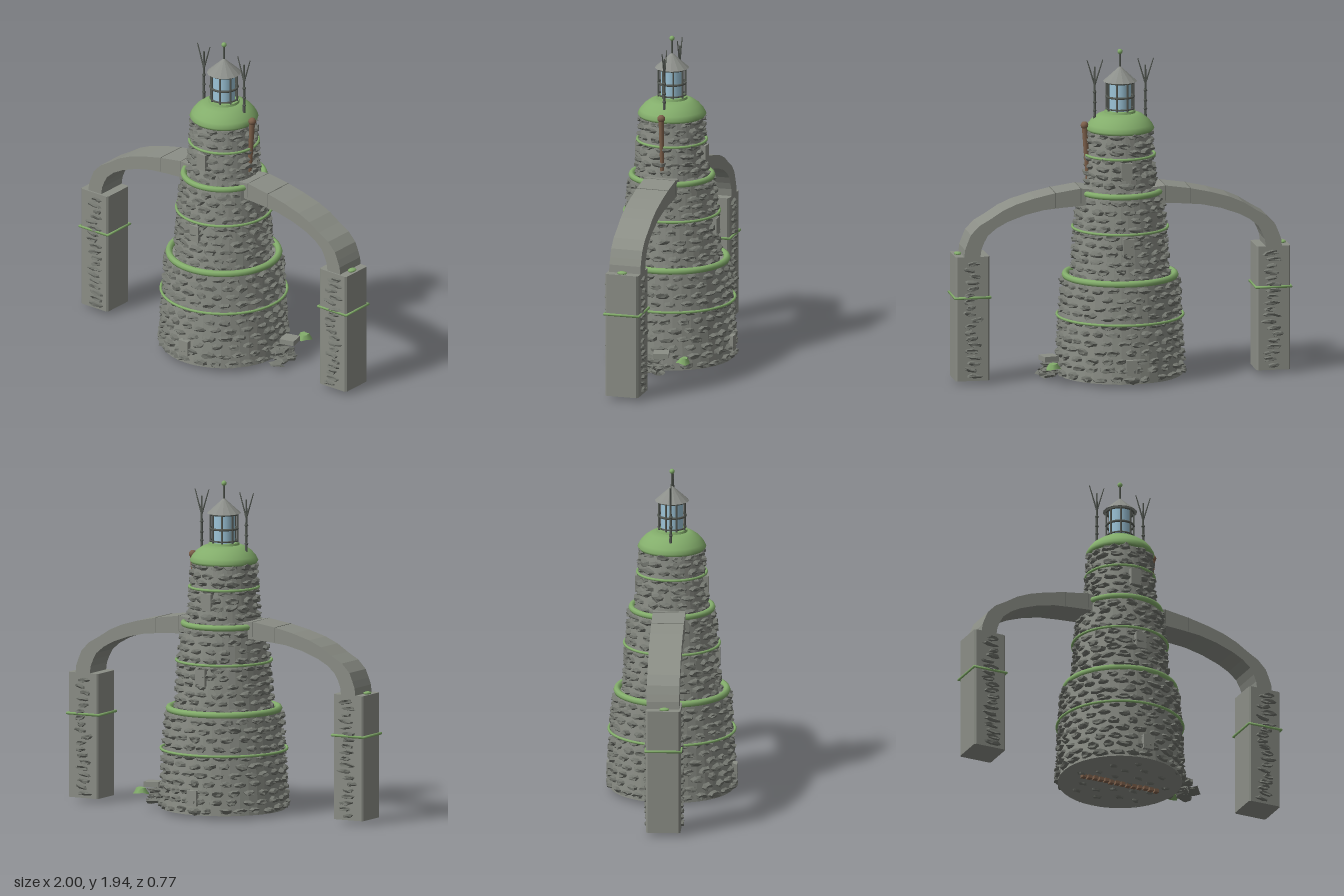
import * as THREE from 'three';
import { mergeGeometries } from 'three/addons/utils/BufferGeometryUtils.js';

const mat = (name, color, opts = {}) => {
  const m = new THREE.MeshStandardMaterial({ color, ...opts });
  m.name = name;
  return m;
};

export function createModel() {
  const root = new THREE.Group();
  root.name = 'stoneLighthouse';
  const masonry = mat('masonry', 0x8b8e86, { flatShading: true });
  const rubble = mat('rubbleStone', 0x73766f, { flatShading: true });
  const moss = mat('moss', 0x83ad6b);
  const iron = mat('iron', 0x555a54);
  const glass = mat('glass', 0x9cc4d8);
  const roofing = mat('roof', 0x8c8f8a, { flatShading: true });
  const wood = mat('weatheredWood', 0x7d604b);

  let seed = 7;
  const rnd = () => (seed = (seed * 16807) % 2147483647) / 2147483647;
  const vary = (a) => (rnd() * 2 - 1) * a;

  const add = (name, geo, material, x = 0, y = 0, z = 0, parent = root) => {
    const m = new THREE.Mesh(geo, material);
    m.name = name;
    m.position.set(x, y, z);
    parent.add(m);
    return m;
  };
  // Straight round bar between two points
  const bar = (name, a, b, r, material, parent = root, r2 = r) => {
    const p = new THREE.Vector3(...a), q = new THREE.Vector3(...b);
    const d = q.clone().sub(p);
    const m = add(name, new THREE.CylinderGeometry(r2, r, d.length(), 8), material, 0, 0, 0, parent);
    m.position.copy(p).add(q).multiplyScalar(0.5);
    m.quaternion.setFromUnitVectors(new THREE.Vector3(0, 1, 0), d.normalize());
    return m;
  };
  const ring = (name, r, tube, y) =>
    add(name, new THREE.TorusGeometry(r, tube, 8, 48).rotateX(Math.PI / 2), moss, 0, y, 0);

  // Irregular chipped stone whose worn face looks along +z
  const stone = (w, h, d) => {
    const g = new THREE.CylinderGeometry(0.62, 1, 1, 7, 1).rotateX(Math.PI / 2).rotateZ(rnd() * 6);
    const p = g.attributes.position, s = rnd() * 50;
    for (let i = 0; i < p.count; i++) {
      const x = p.getX(i), y = p.getY(i), z = p.getZ(i);
      const n = Math.sin(Math.round(x * 50) * 1.7 + Math.round(y * 50) * 2.9 + Math.round(z * 4) + s);
      const k = 1 + 0.2 * n;
      p.setXYZ(i, x * w * k, y * h * k, z * d * (1 + 0.45 * n));
    }
    return g;
  };

  // Tower tiers: tapered core with staggered courses of stones
  const tiers = [
    { name: 'lower', y0: 0.02, y1: 0.59, r0: 0.362, r1: 0.33, rows: 11 },
    { name: 'middle', y0: 0.59, y1: 1.09, r0: 0.275, r1: 0.238, rows: 10 },
    { name: 'upper', y0: 1.09, y1: 1.47, r0: 0.2, r1: 0.174, rows: 8 },
  ];
  for (const t of tiers) {
    const h = t.y1 - t.y0;
    add(t.name + 'TowerCore', new THREE.CylinderGeometry(t.r1, t.r0, h, 40), masonry, 0, t.y0 + h / 2);
    const list = [];
    for (let row = 0; row < t.rows; row++) {
      const f = (row + 0.5) / t.rows, r = t.r0 + (t.r1 - t.r0) * f;
      const n = Math.round((2 * Math.PI * r) / 0.095);
      for (let i = 0; i < n; i++) {
        const a = ((i + (row % 2) / 2 + vary(0.12)) / n) * Math.PI * 2;
        const g = stone(0.046 + vary(0.008), 0.022 + vary(0.004), 0.03);
        g.rotateZ(vary(0.12)).rotateX(vary(0.2)).translate(0, 0, r + 0.004).rotateY(a);
        list.push(g.translate(0, t.y0 + f * h + vary(0.005), 0));
      }
    }
    add(t.name + 'TowerStones', mergeGeometries(list), rubble);
  }

  // Plain panels set into the front and back walls
  for (const s of [1, -1]) {
    for (const [y, r, h] of [[0.12, 0.371, 0.09], [0.815, 0.271, 0.1], [1.25, 0.205, 0.1]]) {
      add('wallPanel', new THREE.BoxGeometry(0.065, h, 0.04), masonry, 0, y, s * (r - 0.01));
    }
  }

  // Mossy bands and ledges
  ring('lowerMossBand', 0.368, 0.008, 0.37);
  ring('middleMossBand', 0.278, 0.008, 0.89);
  ring('upperMossBand', 0.202, 0.008, 1.32);
  ring('lowerLedge', 0.32, 0.02, 0.605);
  ring('middleLedge', 0.235, 0.018, 1.105);

  // Domed moss cap
  const cap = [[0, 1.46], [0.19, 1.46], [0.2, 1.475], [0.187, 1.5], [0.162, 1.53], [0.13, 1.553], [0.1, 1.565], [0, 1.567]];
  add('mossCap', new THREE.LatheGeometry(cap.map((p) => new THREE.Vector2(...p)), 40), moss);

  // Lantern room
  const lantern = new THREE.Group();
  lantern.name = 'lantern';
  root.add(lantern);
  add('galleryFloor', new THREE.CylinderGeometry(0.088, 0.092, 0.014, 24), moss, 0, 1.571, 0, lantern);
  add('lanternGlass', new THREE.CylinderGeometry(0.064, 0.064, 0.175, 16), glass, 0, 1.664, 0, lantern);
  for (let i = 0; i < 8; i++) {
    const a = ((i + 0.5) / 8) * Math.PI * 2, c = Math.cos(a), s = Math.sin(a);
    bar('lanternPost', [c * 0.08, 1.575, s * 0.08], [c * 0.08, 1.752, s * 0.08], 0.006, iron, lantern);
  }
  for (const [y, tube] of [[1.59, 0.005], [1.66, 0.007], [1.745, 0.006]]) {
    add('lanternHoop', new THREE.TorusGeometry(0.08, tube, 6, 24).rotateX(Math.PI / 2), iron, 0, y, 0, lantern);
  }
  add('lanternRoof', new THREE.ConeGeometry(0.1, 0.09, 14), roofing, 0, 1.795, 0, lantern);
  bar('finialRod', [0, 1.82, 0], [0, 1.92, 0], 0.005, iron, lantern);
  add('finialBall', new THREE.SphereGeometry(0.015, 12, 8), moss, 0, 1.925, 0, lantern);

  // Forked masts on either side of the lantern
  for (const s of [-1, 1]) {
    const mast = new THREE.Group();
    mast.name = 'forkedMast';
    mast.position.x = s * 0.15;
    root.add(mast);
    bar('mastStem', [0, 1.48, 0], [0, 1.84, 0], 0.009, iron, mast, 0.005);
    bar('mastBranch', [0, 1.73, 0], [-0.048, 1.88, 0], 0.005, iron, mast, 0.003);
    bar('mastBranch', [0, 1.73, 0], [0.045, 1.88, 0], 0.005, iron, mast, 0.003);
    for (const y of [1.58, 1.63, 1.69]) {
      add('mastKnot', new THREE.IcosahedronGeometry(0.012, 0), iron, 0, y, 0, mast);
    }
  }

  // Leaning wooden post on the left wall
  bar('woodenPost', [0.19, 1.16, 0], [0.21, 1.5, 0], 0.012, wood, root, 0.017);
  add('woodenPostKnob', new THREE.SphereGeometry(0.023, 10, 8), wood, 0.21, 1.495, 0);

  // Flying arches and their pillars
  const outer = [[0.18, 1.132], [0.25, 1.14], [0.4, 1.118], [0.52, 1.092], [0.63, 1.06], [0.71, 1.025], [0.78, 0.98], [0.85, 0.94], [0.9, 0.888], [0.92, 0.84], [0.935, 0.8], [0.94, 0.75]];
  const inner = [[0.845, 0.75], [0.838, 0.8], [0.822, 0.84], [0.8, 0.88], [0.75, 0.922], [0.685, 0.957], [0.58, 0.995], [0.47, 1.02], [0.36, 1.03], [0.25, 1.037], [0.18, 1.04]];
  for (const s of [-1, 1]) {
    const pts = [...outer, ...inner].map(([x, y]) => new THREE.Vector2(s * x, y));
    const arch = new THREE.ExtrudeGeometry(new THREE.Shape(pts), { depth: 0.19, bevelEnabled: false });
    add('flyingArch', arch, masonry, 0, 0, -0.1);
    for (const x of [0.25, 0.4]) {
      add('archSeam', new THREE.BoxGeometry(0.004, 0.09, 0.192), rubble, s * x, x < 0.3 ? 1.096 : 1.075, -0.005);
    }

    const pillar = new THREE.Group();
    pillar.name = 'pillar';
    pillar.position.x = s * 0.89;
    root.add(pillar);
    const square = new THREE.Shape();
    const e = 0.1, c = 0.09;
    [[e, c], [c, e], [-c, e], [-e, c], [-e, -c], [-c, -e], [c, -e], [e, -c]].forEach(([x, y], i) =>
      i ? square.lineTo(x, y) : square.moveTo(x, y));
    const shaft = new THREE.ExtrudeGeometry(square, { depth: 0.735, bevelEnabled: false }).rotateX(-Math.PI / 2);
    add('pillarShaft', shaft, masonry, 0, 0.022, 0, pillar);
    const list = [];
    for (const side of [0, Math.PI]) {
      for (let i = 0; i < 19; i++) {
        const g = stone(0.055 + vary(0.012), 0.019, 0.022).rotateZ(vary(0.2));
        list.push(g.translate(vary(0.022), 0.05 + i * 0.037, 0.1).rotateY(side));
      }
    }
    add('pillarStones', mergeGeometries(list), rubble, 0, 0, 0, pillar);
    const band = new THREE.TorusGeometry(0.104 * Math.SQRT2, 0.008, 8, 4).rotateZ(Math.PI / 4).rotateX(Math.PI / 2);
    add('pillarMossBand', band, moss, 0, 0.515, 0, pillar);
    add('pillarMossClump', new THREE.SphereGeometry(1, 10, 6).scale(0.022, 0.01, 0.03), moss, s * 0.07, 0.762, 0.005, pillar);
  }

  // Rubble heap, slab and mossy boulder beside the base
  const heap = [];
  for (let i = 0; i < 14; i++) {
    const y = 0.035 + (i % 3) * 0.028;
    heap.push(stone(0.04, 0.018, 0.06).rotateY(rnd() * 6).translate(0.4 + rnd() * 0.045, y, vary(0.07)));
  }
  add('rubbleHeap', mergeGeometries(heap), rubble);
  add('looseSlab', new THREE.BoxGeometry(0.09, 0.03, 0.09), masonry, 0.435, 0.137, -0.07).rotation.y = 0.25;
  add('mossyBoulder', stone(0.042, 0.042, 0.03).rotateX(-Math.PI / 2), moss, 0.435, 0.115, -0.205);

  // Underside: scattered stones and a row of wooden pegs
  const under = [];
  for (let i = 0; i < 22; i++) {
    const a = i * 2.4, r = 0.06 * Math.sqrt(i + 1);
    under.push(stone(0.035, 0.02, 0.016).rotateX(Math.PI / 2).translate(Math.cos(a) * r, 0.02, Math.sin(a) * r));
  }
  add('undersideStones', mergeGeometries(under), rubble);
  for (let i = 0; i < 14; i++) {
    add('woodenPeg', new THREE.BoxGeometry(0.026, 0.022, 0.03), wood, -0.234 + i * 0.036, 0.011, vary(0.006));
  }
  return root;
}
